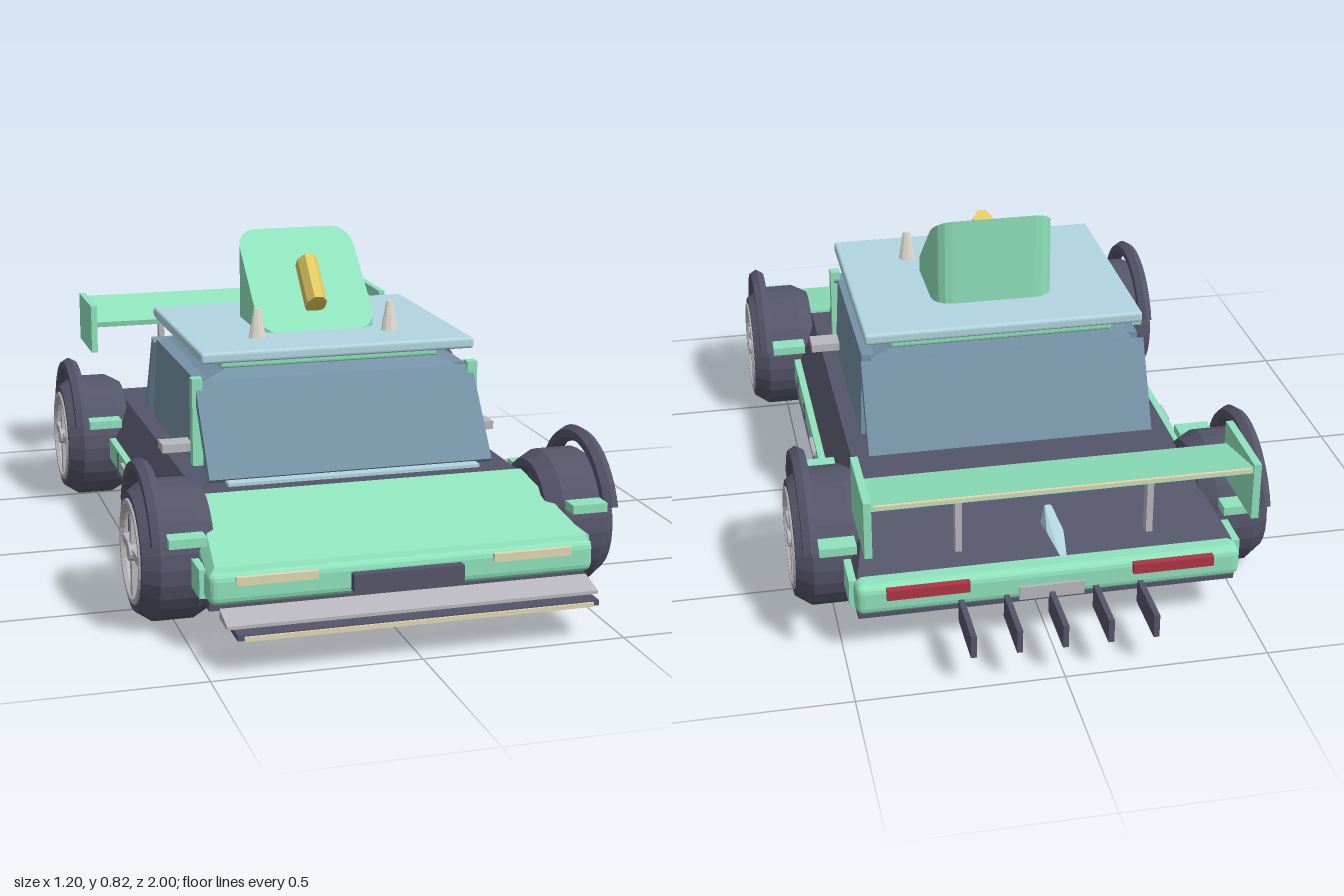
import * as THREE from 'three';
import { ConvexGeometry } from 'three/addons/geometries/ConvexGeometry.js';
import { RoundedBoxGeometry } from 'three/addons/geometries/RoundedBoxGeometry.js';

const colors = {
  dark: 0x55556a, mint: 0x8fe3bd, sky: 0xb2d6e0, slate: 0x7592a6,
  grey: 0xb8b8be, cream: 0xe2d9b2, red: 0xb03444, yellow: 0xe3cb62, white: 0xe6e0d4,
};
const mats = {};
for (const k in colors) {
  mats[k] = new THREE.MeshStandardMaterial({ color: colors[k], flatShading: true });
}

export function createModel() {
  const car = new THREE.Group();
  car.name = 'car';

  const add = (name, geo, mat, parent = car) => {
    const m = new THREE.Mesh(geo, mats[mat]);
    m.name = name;
    parent.add(m);
    return m;
  };
  // Box from its extents on each axis
  const box = (name, mat, [x0, x1], [y0, y1], [z0, z1], parent = car) => {
    const m = add(name, new THREE.BoxGeometry(x1 - x0, y1 - y0, z1 - z0), mat, parent);
    m.position.set((x0 + x1) / 2, (y0 + y1) / 2, (z0 + z1) / 2);
    return m;
  };
  const rbox = (name, mat, w, [y0, y1], [z0, z1], r) => {
    const m = add(name, new RoundedBoxGeometry(2 * w, y1 - y0, z1 - z0, 2, r), mat);
    m.position.set(0, (y0 + y1) / 2, (z0 + z1) / 2);
    return m;
  };
  // Convex solid from [halfWidth, y, z] stations mirrored in x
  const hull = (name, mat, stations) => add(name, new ConvexGeometry(
    stations.flatMap(([x, y, z]) => [new THREE.Vector3(x, y, z), new THREE.Vector3(-x, y, z)])), mat);
  // Flat panel leaning between two (y, z) points
  const panel = (name, mat, w, [y0, z0], [y1, z1], t) => {
    const m = add(name, new THREE.BoxGeometry(2 * w, Math.hypot(y1 - y0, z1 - z0), t), mat);
    m.position.set(0, (y0 + y1) / 2, (z0 + z1) / 2);
    m.rotation.x = Math.atan2(z1 - z0, y1 - y0);
    return m;
  };

  // Body
  box('chassis', 'dark', [-0.465, 0.465], [0.105, 0.2], [-0.82, 0.84]);
  hull('upperBody', 'dark', [
    [0.47, 0.19, 0.85], [0.47, 0.19, -0.83], [0.415, 0.285, 0.52], [0.415, 0.285, -0.6],
  ]);
  hull('hood', 'mint', [
    [0.47, 0.195, 0.865], [0.455, 0.215, 0.855], [0.42, 0.29, 0.525], [0.45, 0.25, 0.525], [0.455, 0.21, 0.6],
  ]);
  rbox('frontBumper', 'mint', 0.472, [0.125, 0.205], [0.79, 0.875], 0.02);
  rbox('rearBumper', 'mint', 0.472, [0.125, 0.205], [-0.845, -0.77], 0.02);

  // Nose trim
  box('grille', 'dark', [-0.135, 0.135], [0.14, 0.182], [0.86, 0.9]);
  box('splitter', 'dark', [-0.435, 0.435], [0.087, 0.1], [0.85, 0.995]);
  box('splitterEdge', 'cream', [-0.42, 0.42], [0.086, 0.097], [0.99, 1]);
  hull('splitterBlade', 'grey', [
    [0.45, 0.1, 0.955], [0.45, 0.108, 0.955], [0.45, 0.1, 0.88], [0.45, 0.125, 0.88],
  ]);

  // Tail trim
  box('rearPlate', 'grey', [-0.08, 0.08], [0.13, 0.165], [-0.852, -0.84]);
  for (let i = -2; i <= 2; i++) {
    box('diffuserFin', 'dark', [i * 0.11 - 0.007, i * 0.11 + 0.007], [0.085, 0.145], [-1, -0.845]);
  }
  hull('tailFin', 'sky', [
    [0.02, 0.31, -0.8], [0.008, 0.35, -0.79], [0.008, 0.31, -0.955], [0.02, 0.325, -0.87],
  ]);

  // Cabin
  hull('cabin', 'slate', [
    [0.355, 0.28, 0.43], [0.355, 0.28, -0.36], [0.345, 0.505, 0.265], [0.345, 0.505, -0.25],
    [0.28, 0.53, 0.235], [0.28, 0.53, -0.235],
  ]);
  hull('sideWindows', 'slate', [
    [0.375, 0.29, 0.26], [0.375, 0.29, -0.25], [0.365, 0.51, 0.245], [0.365, 0.51, -0.235],
  ]);
  panel('windshield', 'slate', 0.372, [0.29, 0.435], [0.505, 0.275], 0.025);
  panel('rearWindow', 'slate', 0.372, [0.29, -0.37], [0.505, -0.26], 0.025);
  box('windshieldSill', 'sky', [-0.33, 0.33], [0.283, 0.293], [0.43, 0.47]);

  // Roof layers
  rbox('roofTrim', 'mint', 0.293, [0.528, 0.553], [-0.245, 0.235], 0.008);
  box('roofSpacer', 'slate', [-0.26, 0.26], [0.55, 0.57], [-0.2, 0.2]);
  rbox('roofPanel', 'sky', 0.363, [0.563, 0.592], [-0.29, 0.325], 0.008);

  // Rooftop wedge: rounded footprint cut by a sloping plane
  const w = 0.16, r = 0.05;
  const foot = [];
  for (let c = 0; c < 4; c++) {
    for (let i = 0; i <= 4; i++) {
      const a = (c + i / 4) * Math.PI / 2;
      const sx = c === 0 || c === 3 ? 1 : -1, sz = c < 2 ? 1 : -1;
      foot.push([sx * (w - r) + r * Math.cos(a), sz * (0.138 - r) + r * Math.sin(a) - 0.005]);
    }
  }
  const slope = z => 0.59 + (0.133 - z) * 0.84;
  add('roofWedge', new ConvexGeometry(foot.flatMap(([x, z]) => [
    new THREE.Vector3(x, 0.56, z), new THREE.Vector3(x, slope(z) + 0.001, z)])), 'mint');

  // Yellow handle lying along the wedge
  const knob = add('wedgeKnob', new THREE.CylinderGeometry(0.04, 0.04, 0.14, 8)
    .rotateY(Math.PI / 8).scale(0.73, 1, 1), 'yellow');
  knob.position.set(0, 0.703, 0.05);
  knob.rotation.x = -Math.PI / 4;

  // Rear wing
  panel('wing', 'mint', 0.45, [0.447, -0.765], [0.492, -0.962], 0.016);
  box('wingEdge', 'cream', [-0.44, 0.44], [0.49, 0.498], [-0.968, -0.955]);

  // Mirrored details
  for (const s of [-1, 1]) {
    const sbox = (name, mat, [a, b], y, z) =>
      box(name, mat, s > 0 ? [a, b] : [-b, -a], y, z);
    sbox('headlight', 'cream', [0.215, 0.41], [0.176, 0.196], [0.86, 0.884]);
    sbox('tailLight', 'red', [0.2, 0.4], [0.172, 0.198], [-0.858, -0.835]);
    sbox('sideSkirt', 'mint', [0.46, 0.483], [0.13, 0.2], [-0.8, 0.82]);
    sbox('skirtLine', 'dark', [0.46, 0.487], [0.138, 0.145], [-0.36, 0.4]);
    for (const z of [0.29, 0.13, -0.22]) {
      sbox('skirtDivider', 'dark', [0.46, 0.486], [0.145, 0.195], [z - 0.004, z + 0.004]);
    }
    sbox('doorHandle', 'grey', [0.47, 0.493], [0.177, 0.19], [-0.14, -0.06]);
    sbox('frontPillar', 'mint', [0.355, 0.382], [0.295, 0.522], [0.27, 0.3]);
    sbox('mirror', 'grey', [0.37, 0.45], [0.32, 0.342], [0.19, 0.25]);
    sbox('wingEndPlate', 'mint', [0.446, 0.464], [0.365, 0.508], [-0.968, -0.75]);
    sbox('wingStrut', 'grey', [0.222, 0.238], [0.295, 0.465], [-0.868, -0.842]);
    const horn = add('roofHorn', new THREE.CylinderGeometry(0.01, 0.024, 0.085, 10).scale(1, 1, 0.6), 'white');
    horn.position.set(s * 0.18, 0.627, 0.175);
  }

  // Wheels with arches and arch brackets
  const tyreProfile = [
    [0, -0.06], [0.12, -0.06], [0.13, -0.09], [0.15, -0.09], [0.172, -0.05],
    [0.172, 0.045], [0.145, 0.085], [0.125, 0.085], [0.12, 0.05], [0, 0.05],
  ].map(p => new THREE.Vector2(...p));
  const onAxle = geo => geo.rotateZ(-Math.PI / 2);
  for (const [end, z] of [['front', 0.565], ['rear', -0.532]]) {
    for (const s of [-1, 1]) {
      const wheel = new THREE.Group();
      wheel.name = end + 'Wheel';
      wheel.position.set(s * 0.51, 0.173, z);
      wheel.rotation.y = s > 0 ? 0 : Math.PI;
      car.add(wheel);
      add('tyre', onAxle(new THREE.LatheGeometry(tyreProfile, 28)), 'dark', wheel);
      add('rimRing', new THREE.TorusGeometry(0.121, 0.011, 6, 28).rotateY(Math.PI / 2), 'grey', wheel)
        .position.x = 0.08;
      add('brakeDisc', onAxle(new THREE.CylinderGeometry(0.088, 0.088, 0.02, 24)), 'sky', wheel)
        .position.x = 0.055;
      box('spoke', 'grey', [0.06, 0.085], [-0.118, 0.118], [-0.011, 0.011], wheel);
      box('spoke', 'grey', [0.06, 0.084], [-0.011, 0.011], [-0.118, 0.118], wheel);
      add('hub', onAxle(new THREE.CylinderGeometry(0.022, 0.026, 0.03, 12)), 'grey', wheel)
        .position.x = 0.077;
      // Arch: hexagonal tube swept over the wheel
      const arc = Math.PI * 0.78;
      const arch = add('wheelArch', new THREE.TorusGeometry(0.205, 0.021, 6, 18, arc)
        .rotateZ((Math.PI - arc) / 2).rotateY(Math.PI / 2), 'dark', wheel);
      arch.position.x = 0.053;
      for (const e of [-1, 1]) {
        box('archBracket', 'mint', [-0.055, 0.035], [0.07, 0.092], [e * 0.195 - 0.025, e * 0.195 + 0.025], wheel);
      }
    }
  }
  return car;
}
